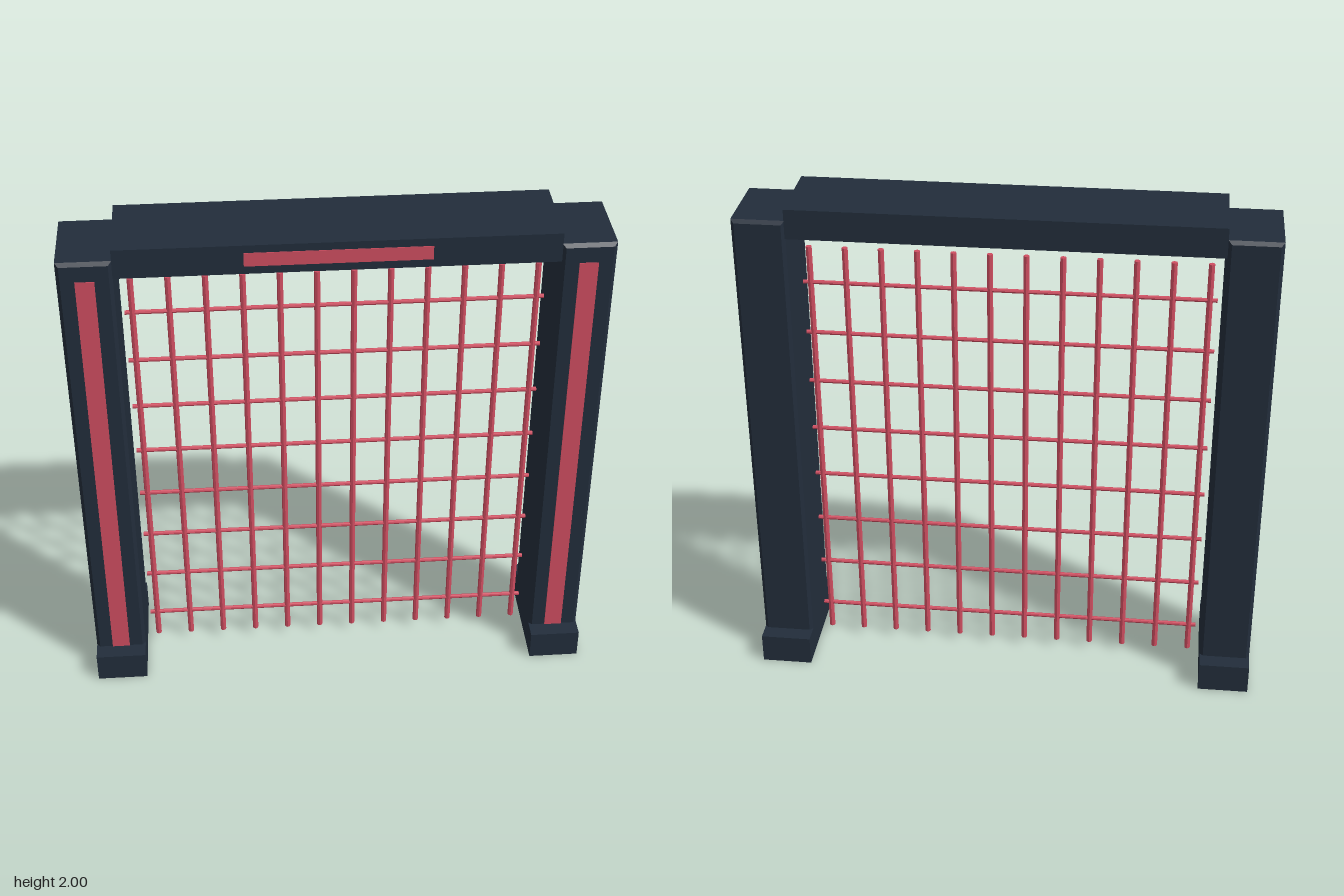
import * as THREE from 'three';

const navy = new THREE.MeshStandardMaterial({ color: 0x222d3b });
navy.name = 'dark navy';
const red = new THREE.MeshStandardMaterial({ color: 0xd04e61 });
red.name = 'coral red';
navy.flatShading = red.flatShading = true;

function add(parent, name, geometry, material, x, y, z) {
  const mesh = new THREE.Mesh(geometry, material);
  mesh.name = name;
  mesh.position.set(x, y, z);
  parent.add(mesh);
  return mesh;
}

// Box with one flat chamfer on every edge, centred on the origin
function chamferedBox(w, h, d, c) {
  const x = w / 2 - c, y = h / 2 - c;
  const s = new THREE.Shape();
  s.moveTo(-x, -y).lineTo(x, -y).lineTo(x, y).lineTo(-x, y).closePath();
  const g = new THREE.ExtrudeGeometry(s, {
    depth: d - 2 * c, bevelEnabled: true, bevelSegments: 1, bevelSize: c, bevelThickness: c,
  });
  // Pull the side walls' corners in so the upright edges are cut too
  g.translate(0, 0, -d / 2 + c);
  return g;
}

export function createModel() {
  const gate = new THREE.Group();
  gate.name = 'gate';

  // Posts with feet and front light strips
  for (const [side, name] of [[1, 'left'], [-1, 'right']]) {
    const post = new THREE.Group();
    post.name = name + 'Post';
    post.position.x = side * 0.9;
    add(post, 'pillar', chamferedBox(0.2, 1.93, 0.32, 0.013), navy, 0, 0.985, 0);
    add(post, 'foot', new THREE.BoxGeometry(0.2, 0.12, 0.45), navy, 0, 0.06, 0);
    add(post, 'lightStrip', new THREE.BoxGeometry(0.07, 1.775, 0.006), red, 0, 0.9875, 0.16);
    gate.add(post);
  }

  // Top beam and its front strip
  add(gate, 'beam', new THREE.BoxGeometry(1.6, 0.115, 0.324), navy, 0, 1.9425, 0);
  add(gate, 'beamStrip', new THREE.BoxGeometry(0.674, 0.054, 0.006), red, 0, 1.943, 0.161);

  // Grille of upright and level bars
  const grille = new THREE.Group();
  grille.name = 'grille';
  const upright = new THREE.CylinderGeometry(0.0115, 0.0115, 1.75, 8);
  for (let i = 0; i < 12; i++) {
    add(grille, 'uprightBar', upright, red, -0.751 + (i * 1.502) / 11, 0.913, 0);
  }
  const level = new THREE.CylinderGeometry(0.0085, 0.0085, 1.56, 8).rotateZ(Math.PI / 2);
  for (let i = 0; i < 8; i++) {
    add(grille, 'levelBar', level, red, 0, 0.155 + (i * 1.486) / 7, 0);
  }
  gate.add(grille);
  return gate;
}
